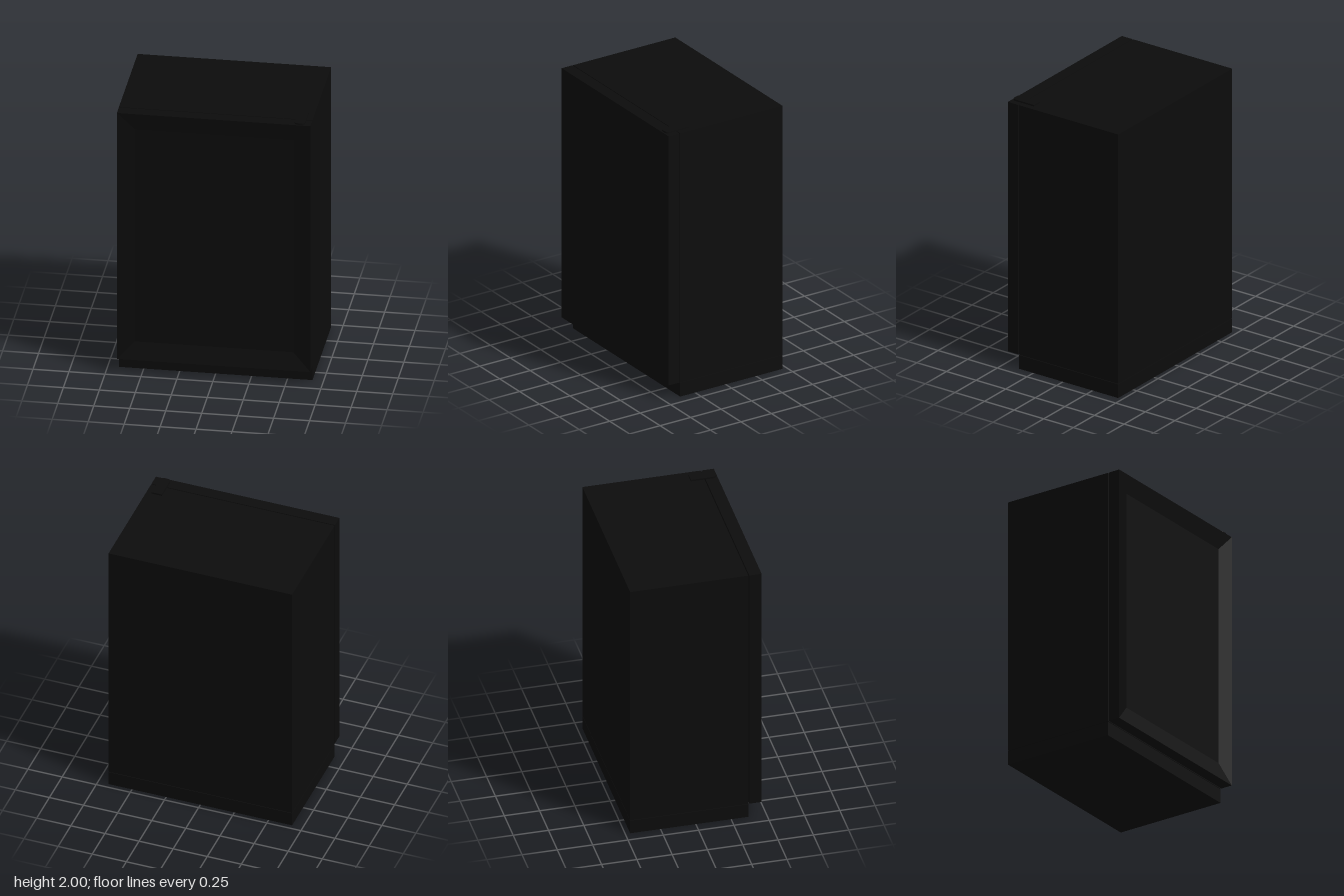
import * as THREE from 'three';

const black = new THREE.MeshStandardMaterial({ color: 0x0c0c0c });

const W = 1.345, TOP = 1.988;

function box(name, x0, x1, y0, y1, z0, z1) {
  const mesh = new THREE.Mesh(new THREE.BoxGeometry(x1 - x0, y1 - y0, z1 - z0), black);
  mesh.name = name;
  mesh.position.set((x0 + x1) / 2, (y0 + y1) / 2, (z0 + z1) / 2);
  return mesh;
}

// Rectangular rings swept front to back: mitred frame, recessed panel and closed rear
function doorGeometry(rings) {
  const pos = [];
  const corners = ([hw, hh, z]) => [[-hw, -hh, z], [hw, -hh, z], [hw, hh, z], [-hw, hh, z]];
  const quad = (a, b, c, d) => pos.push(...a, ...b, ...c, ...a, ...c, ...d);
  for (let r = 0; r < rings.length - 1; r++) {
    const a = corners(rings[r]), b = corners(rings[r + 1]);
    for (let i = 0; i < 4; i++) {
      const j = (i + 1) % 4;
      quad(a[i], a[j], b[j], b[i]);
    }
  }
  const back = corners(rings[0]);
  quad(back[3], back[2], back[1], back[0]);
  quad(...corners(rings[rings.length - 1]));
  const g = new THREE.BufferGeometry();
  g.setAttribute('position', new THREE.Float32BufferAttribute(pos, 3));
  g.computeVertexNormals();
  return g;
}

export function createModel() {
  const model = new THREE.Group();
  model.name = 'cabinet';
  const h = W / 2;

  // Plinth and cabinet body, separated by a fine shadow gap
  model.add(box('plinth', -h, h, 0, 0.103, -0.465, 0.372));
  model.add(box('body', -h, h, 0.107, TOP, -0.465, 0.372));

  // Door with a sloping mitred frame around a recessed panel
  const y0 = 0.107, hh = (TOP - y0) / 2;
  const door = new THREE.Mesh(doorGeometry([
    [h, hh, 0.379],
    [h, hh, 0.466],
    [h - 0.122, hh - 0.13, 0.441],
  ]), black);
  door.name = 'door';
  door.position.y = y0 + hh;
  model.add(door);

  // Hinge plate bridging body and door, rounded at its front end
  const w = 0.037, r = 0.028, zb = 0.275, zf = 0.457;
  const s = new THREE.Shape();
  s.moveTo(-w, -zb);
  s.lineTo(-w, -zf + r);
  s.quadraticCurveTo(-w, -zf, -w + r, -zf);
  s.lineTo(w - r, -zf);
  s.quadraticCurveTo(w, -zf, w, -zf + r);
  s.lineTo(w, -zb);
  s.closePath();
  const hinge = new THREE.Mesh(
    new THREE.ExtrudeGeometry(s, { depth: 2 - TOP, bevelEnabled: false, curveSegments: 8 }), black);
  hinge.name = 'hingePlate';
  hinge.rotation.x = -Math.PI / 2;
  hinge.position.set(0.595, TOP, 0);
  model.add(hinge);

  return model;
}
